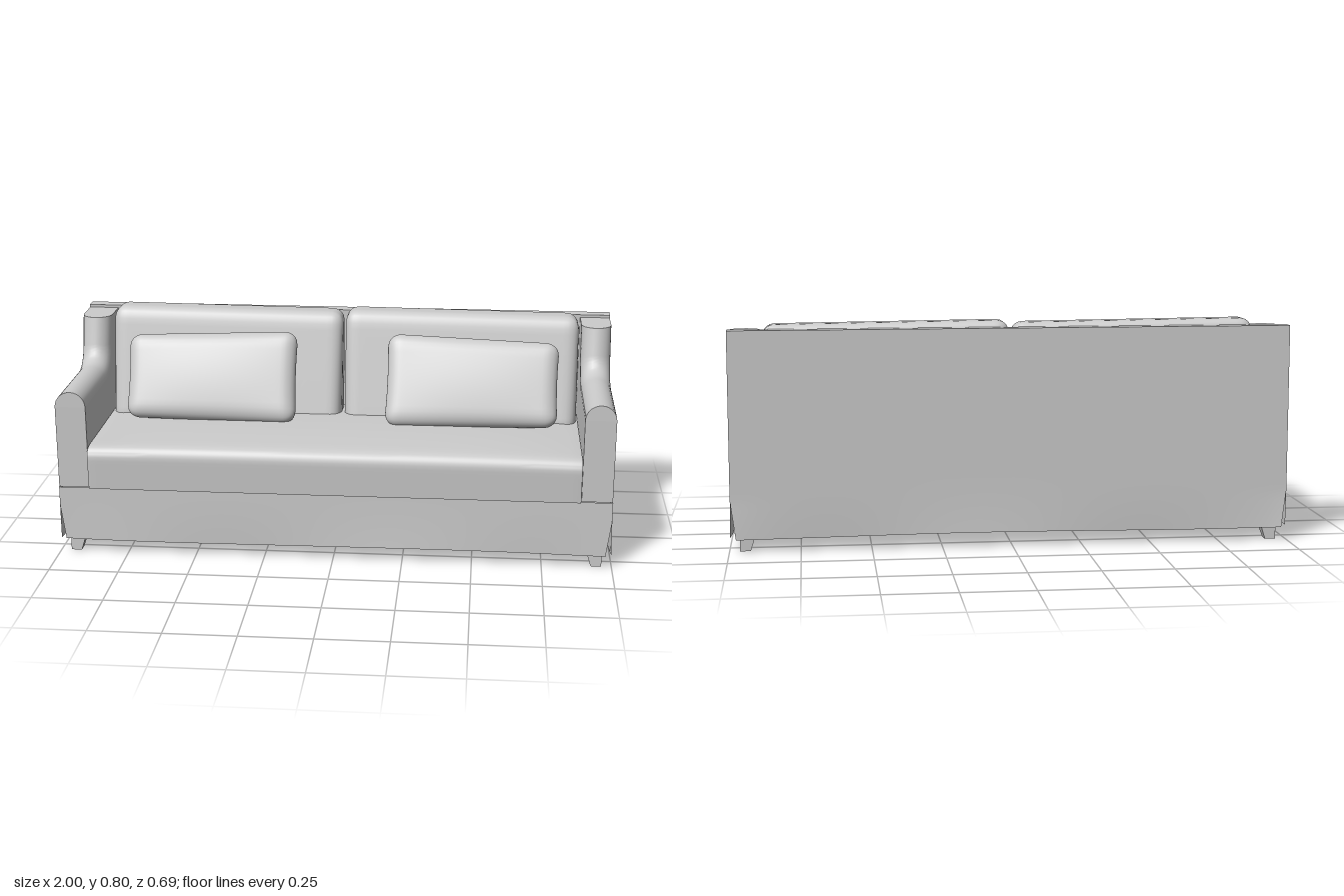
import * as THREE from 'three';
import { mergeVertices, toCreasedNormals } from 'three/addons/utils/BufferGeometryUtils.js';

const material = new THREE.MeshStandardMaterial({ color: 0xcccccc });
const clothMaterial = new THREE.MeshStandardMaterial({ color: 0xcccccc, side: THREE.DoubleSide });
const clamp = THREE.MathUtils.clamp;

// Move every vertex of a geometry by a rule
function deform(geometry, rule) {
  const pos = geometry.attributes.position;
  const v = new THREE.Vector3();
  for (let i = 0; i < pos.count; i++) {
    v.fromBufferAttribute(pos, i);
    rule(v);
    pos.setXYZ(i, v.x, v.y, v.z);
  }
  return geometry;
}

// Soft block: rounded box with dense edges, shaped further by a rule
function softBlock(w, h, d, r, rule) {
  let g = new THREE.BoxGeometry(2, 2, 2, 36, 20, 16);
  g.deleteAttribute('uv');
  g.deleteAttribute('normal');
  g = mergeVertices(g);
  const half = new THREE.Vector3(w / 2, h / 2, d / 2);
  const core = new THREE.Vector3();
  deform(g, v => {
    for (const k of ['x', 'y', 'z']) {
      v[k] = Math.sin(v[k] * Math.PI / 2) * half[k];
      core[k] = clamp(v[k], r - half[k], half[k] - r);
    }
    v.sub(core).normalize().multiplyScalar(r).add(core);
    rule(v);
  });
  g.computeVertexNormals();
  return g;
}

function add(parent, name, geometry, x = 0, y = 0, z = 0, mat = material) {
  const mesh = new THREE.Mesh(geometry, mat);
  mesh.name = name;
  mesh.position.set(x, y, z);
  parent.add(mesh);
  return mesh;
}

// Centre line of the arm roll in (z, y): level, then sweeping up to the back
function armPath() {
  const path = new THREE.Path();
  path.moveTo(0.328, 0.555);
  path.lineTo(-0.01, 0.555);
  path.bezierCurveTo(-0.11, 0.555, -0.145, 0.615, -0.155, 0.66);
  path.lineTo(-0.178, 0.77);
  return path;
}

// Half-round roll swept along the arm path, closed at both ends
function armRoll(r) {
  const points = armPath().getPoints(16);
  const last = points.length - 1;
  const steps = 14;
  const positions = [], index = [];
  const ring = (p, n, radius) => {
    for (let j = 0; j <= steps; j++) {
      const a = Math.PI * j / steps, s = radius * Math.sin(a);
      positions.push(radius * Math.cos(a), p.y + n.y * s, p.x + n.x * s);
    }
  };
  points.forEach((p, i) => {
    const t = points[Math.min(i + 1, last)].clone().sub(points[Math.max(i - 1, 0)]).normalize();
    const n = i === last ? new THREE.Vector2(1, 0) : new THREE.Vector2(t.y, -t.x);
    if (i === 0) ring(p, n, 0);
    ring(p, n, r);
    if (i === last) ring(p, n, 0);
  });
  for (let i = 0; i < last + 2; i++) {
    for (let j = 0; j < steps; j++) {
      const a = i * (steps + 1) + j, b = a + steps + 1;
      index.push(a, b, a + 1, b, b + 1, a + 1);
    }
  }
  const g = new THREE.BufferGeometry();
  g.setAttribute('position', new THREE.Float32BufferAttribute(positions, 3));
  g.setIndex(index);
  return toCreasedNormals(g, 0.6);
}

// Flat-sided arm body under the roll
function armBody(width) {
  const shape = new THREE.Shape(armPath().getPoints(16));
  shape.lineTo(-0.285, 0.77);
  shape.lineTo(-0.285, 0.252);
  shape.lineTo(0.32, 0.252);
  shape.closePath();
  const g = new THREE.ExtrudeGeometry(shape, { depth: width, bevelEnabled: false });
  g.rotateY(-Math.PI / 2);
  g.translate(width / 2, 0, 0);
  return g;
}

// Cloth panel with a gently wavy hem that narrows towards the corner slits
function skirtPanel(width, phase, flare) {
  const g = new THREE.PlaneGeometry(width, 0.2, 64, 10);
  deform(g, v => {
    const t = (0.1 - v.y) / 0.2;
    const u = v.x / (width / 2);
    const slit = clamp((t - 0.35) / 0.65, 0, 1);
    v.z += 0.005 * t * t * Math.sin(u * 5 + phase) * (1 - u ** 4) + flare * slit * Math.abs(u) ** 12;
    v.y += 0.004 * t * Math.sin(u * 4 + phase);
    v.x *= 1 - slit * 0.018 / (width / 2);
  });
  g.computeVertexNormals();
  return g;
}

export function createModel() {
  const sofa = new THREE.Group();
  sofa.name = 'sofa';

  // Base and back
  add(sofa, 'base', new THREE.BoxGeometry(1.97, 0.07, 0.63), 0, 0.215, -0.005);
  add(sofa, 'backPanel', new THREE.BoxGeometry(1.99, 0.6, 0.049), 0, 0.48, -0.3095);

  // Skirt on four sides
  const skirt = new THREE.Group();
  skirt.name = 'skirt';
  sofa.add(skirt);
  add(skirt, 'frontSkirt', skirtPanel(1.988, 0.4, 0), 0, 0.15, 0.32, clothMaterial);
  add(skirt, 'backSkirt', skirtPanel(1.988, 2, 0.009), 0, 0.15, -0.335, clothMaterial).rotation.y = Math.PI;
  for (const s of [-1, 1]) {
    add(skirt, 'sideSkirt', skirtPanel(0.655, 1 + s, 0.004), s * 0.994, 0.15, -0.0075, clothMaterial)
      .rotation.y = s * Math.PI / 2;
  }

  // Arms
  for (const s of [-1, 1]) {
    const arm = new THREE.Group();
    arm.name = s > 0 ? 'leftArm' : 'rightArm';
    arm.position.x = s * 0.938;
    add(arm, 'armBody', armBody(0.11));
    add(arm, 'armRoll', armRoll(0.055));
    sofa.add(arm);
  }

  // Seat cushion: square ends against the arms, flat underside, crowned top, leaning nose
  const seat = softBlock(1.86, 0.23, 0.62, 0.04, v => {
    v.x = clamp(v.x, -0.881, 0.881);
    v.y = Math.max(v.y, -0.04);
    const up = (v.y + 0.04) / 0.155;
    v.y += up * 0.02 * (1 - (v.x / 0.881) ** 4) * (1 - (v.z / 0.34) ** 2);
    if (v.z > 0) v.z += 0.01 * up;
  });
  add(sofa, 'seatCushion', toCreasedNormals(seat, 0.7), 0, 0.292, 0.026);

  // Back cushions, thicker at the bottom and tucked into the seat
  for (const s of [-1, 1]) {
    const cushion = softBlock(0.87, 0.43, 0.16, 0.045, v => {
      const up = (v.y + 0.215) / 0.43;
      const front = (v.z + 0.08) / 0.16;
      v.z = front * (0.215 - 0.1 * up);
      v.y -= up * 0.01 * v.x;
    });
    add(sofa, 'backCushion', cushion, s * 0.44, 0.583, -0.284);
  }

  // Throw pillows leaning on the back cushions
  for (const s of [-1, 1]) {
    const pillow = softBlock(0.625, 0.33, 0.1, 0.049, v => {
      const x = v.x / 0.3125, y = v.y / 0.165;
      v.z *= 0.75 + 0.3 * (1 - x * x) * (1 - y * y);
      v.y *= 1 - 0.05 * s * x;
      v.x *= 1 + 0.02 * x * x * y * y;
    });
    const mesh = add(sofa, 'throwPillow', pillow, s * 0.484, 0.571, -0.05);
    mesh.rotation.set(-0.44, 0, -s * 0.012);
  }

  // Tapered legs: outer faces upright, inner faces sloping
  for (const sx of [-1, 1]) {
    for (const sz of [-1, 1]) {
      const leg = deform(new THREE.BoxGeometry(1, 0.18, 1), v => {
        const w = v.y > 0 ? 0.095 : 0.038;
        v.x = -sx * (0.5 - sx * v.x) * w;
        v.z = -sz * (0.5 - sz * v.z) * w;
      });
      leg.computeVertexNormals();
      add(sofa, 'leg', leg, sx * 0.964, 0.09, sz > 0 ? 0.3 : -0.31);
    }
  }
  return sofa;
}
